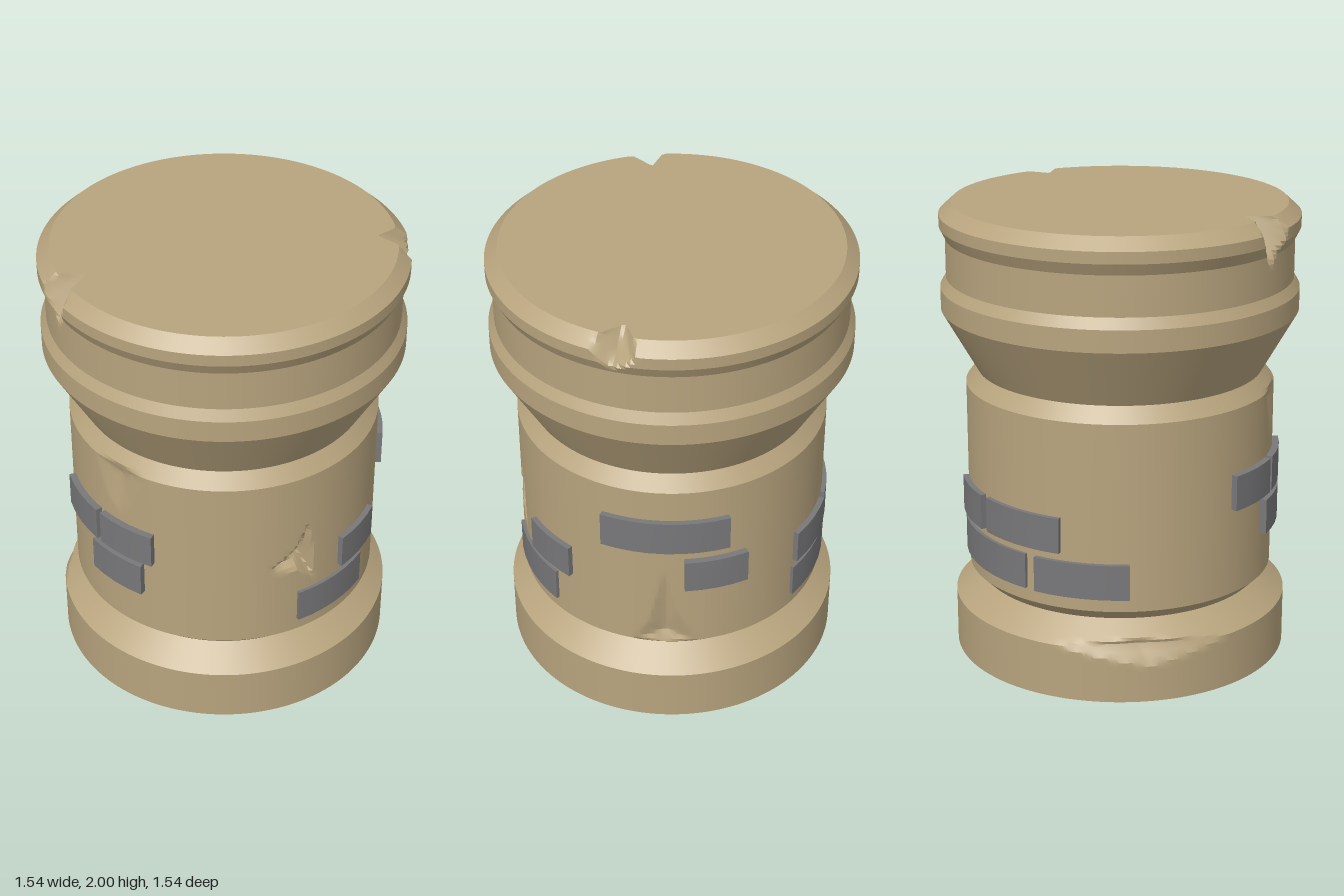
import * as THREE from 'three';
import { toCreasedNormals } from 'three/addons/utils/BufferGeometryUtils.js';

const DEG = Math.PI / 180;
const stone = new THREE.MeshStandardMaterial({ color: 0xb8a47e });
const brickGrey = new THREE.MeshStandardMaterial({ color: 0x78787a });

// Pillar outline as [radius, height], bottom centre to top centre
const PROFILE = [
  [0, 0], [0.735, 0], [0.735, 0.24], [0.62, 0.335], [0.67, 0.385], [0.67, 1.21],
  [0.62, 1.275], [0.77, 1.54], [0.77, 1.635], [0.745, 1.68], [0.745, 1.85],
  [0.77, 1.9], [0.77, 1.95], [0.715, 2], [0.55, 2], [0, 2],
];

// Chips: a star-shaped outline of [degrees, height] round a deepest point
const CHIPS = [
  { radius: 0.77, depth: 0.17, centre: [-33.5, 2.02], // notch in the front rim
    outline: [[-42, 2.06], [-39.5, 1.93], [-33, 1.75], [-28.5, 1.85], [-25, 1.97], [-25, 2.06]] },
  { radius: 0.77, depth: 0.15, centre: [122, 2.01], // notch in the back rim
    outline: [[112, 2.05], [113, 1.97], [120, 1.86], [127, 1.92], [132, 2.05]] },
  { radius: 0.67, depth: 0.08, centre: [60, 0.78], // three-pointed gouge
    outline: [[62.5, 0.96], [57, 0.84], [45, 0.74], [57, 0.73], [65, 0.65], [64, 0.8]] },
  { radius: 0.67, depth: 0.025, centre: [-11, 1.17], // shallow flake at the shaft top
    outline: [[-23, 1.21], [-10, 1.25], [0, 1.21], [-6, 1.03], [-11, 0.97], [-17, 1.03]] },
  { radius: 0.67, depth: 0.04, centre: [136, 0.43], // long flake at the shaft bottom
    outline: [[136, 0.81], [130, 0.5], [124, 0.38], [136, 0.35], [148, 0.38], [141, 0.55]] },
  { radius: 0.735, depth: 0.05, centre: [278, 0.25], // worn patch on the base edge
    outline: [[245, 0.25], [268, 0.35], [290, 0.35], [314, 0.25], [282, 0.16]] },
];

// Bricks: [start degrees, end degrees, bottom, top, outer radius]
const BRICKS = [
  [-44, -21, 0.77, 0.925, 0.7], [-19, 4, 0.77, 0.925, 0.7], [-24, -0.5, 0.59, 0.745, 0.7],
  [77, 99, 0.64, 0.795, 0.695], [58, 91, 0.445, 0.6, 0.685],
  [113, 159, 0.905, 1.065, 0.695], [143, 166, 0.7, 0.855, 0.7],
  [190, 213, 0.635, 0.79, 0.695], [216, 250, 0.635, 0.79, 0.69],
  [189, 236, 0.445, 0.6, 0.685], [240, 275, 0.445, 0.6, 0.69],
];

// Largest radius a chip leaves at an angle and height
function chipLimit({ radius, depth, centre, outline }, degrees, y) {
  const turn = (a) => ((a - centre[0] + 540) % 360) - 180;
  const px = turn(degrees + 360) * DEG, py = y - centre[1];
  const pts = outline.map(([a, h]) => [(a - centre[0]) * DEG, h - centre[1]]);
  for (let i = 0; i < pts.length; i++) {
    const [ax, ay] = pts[i], [bx, by] = pts[(i + 1) % pts.length];
    const det = ax * by - ay * bx;
    const s = (px * by - py * bx) / det, t = (ax * py - ay * px) / det;
    if (s >= -1e-6 && t >= -1e-6 && s + t < 1) return radius - depth * (1 - s - t);
  }
  return Infinity;
}

function pillarGeometry() {
  // Fine rows everywhere except the flat centre of each end
  const points = [new THREE.Vector2(...PROFILE[0])];
  for (let i = 1; i < PROFILE.length; i++) {
    const a = new THREE.Vector2(...PROFILE[i - 1]), b = new THREE.Vector2(...PROFILE[i]);
    const n = a.x === 0 || b.x === 0 ? 1 : Math.ceil(a.distanceTo(b) / 0.02);
    for (let k = 1; k <= n; k++) points.push(a.clone().lerp(b, k / n));
  }
  const geometry = new THREE.LatheGeometry(points, 256);
  const pos = geometry.attributes.position;
  for (let i = 0; i < pos.count; i++) {
    const x = pos.getX(i), y = pos.getY(i), z = pos.getZ(i);
    const r = Math.hypot(x, z);
    if (r < 0.5) continue;
    const angle = Math.atan2(x, z);
    const cut = Math.min(r, ...CHIPS.map((c) => chipLimit(c, angle / DEG, y)));
    pos.setXYZ(i, x * cut / r, y, z * cut / r);
  }
  return toCreasedNormals(geometry, 0.35);
}

// A box bent round the shaft
function brickGeometry([start, end, bottom, top, outer]) {
  const inner = 0.62;
  const geometry = new THREE.BoxGeometry(1, top - bottom, 1, Math.ceil((end - start) / 6), 1, 1);
  geometry.translate(0.5, (top + bottom) / 2, 0.5);
  const pos = geometry.attributes.position;
  for (let i = 0; i < pos.count; i++) {
    const angle = (start + (end - start) * pos.getX(i)) * DEG;
    const r = inner + (outer - inner) * pos.getZ(i);
    pos.setXYZ(i, r * Math.sin(angle), pos.getY(i), r * Math.cos(angle));
  }
  return toCreasedNormals(geometry, 0.6);
}

export function createModel() {
  const model = new THREE.Group();
  model.name = 'stonePillar';

  const pillar = new THREE.Mesh(pillarGeometry(), stone);
  pillar.name = 'pillar';
  model.add(pillar);

  const bricks = new THREE.Group();
  bricks.name = 'bricks';
  BRICKS.forEach((spec, i) => {
    const brick = new THREE.Mesh(brickGeometry(spec), brickGrey);
    brick.name = `brick${i + 1}`;
    bricks.add(brick);
  });
  model.add(bricks);
  return model;
}
